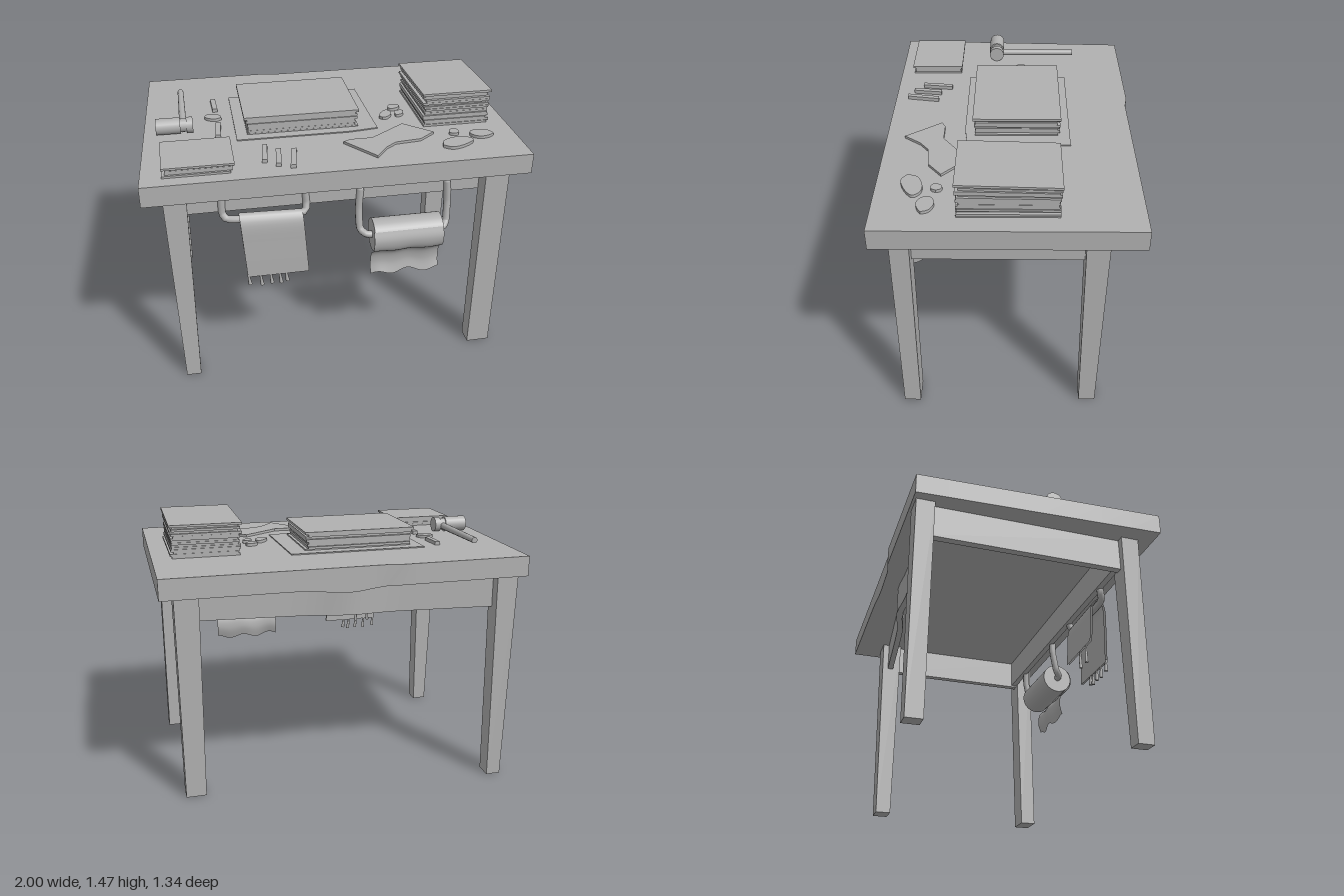
import * as THREE from 'three';

const grey = new THREE.MeshStandardMaterial({ color: 0xb0b0b0 });
grey.name = 'plain grey';
grey.side = THREE.DoubleSide;

let seed = 7;
const rand = () => (seed = (seed * 16807) % 2147483647) / 2147483647;

function add(parent, name, geometry, x = 0, y = 0, z = 0) {
  const mesh = new THREE.Mesh(geometry, grey);
  mesh.name = name;
  mesh.position.set(x, y, z);
  parent.add(mesh);
  return mesh;
}

// Move each vertex of a geometry by a rule
function reshape(geometry, rule) {
  const p = geometry.attributes.position, v = new THREE.Vector3();
  for (let i = 0; i < p.count; i++) {
    v.fromBufferAttribute(p, i);
    rule(v);
    p.setXYZ(i, v.x, v.y, v.z);
  }
  geometry.computeVertexNormals();
  return geometry;
}

// Box given by its limits
function block(parent, name, x0, x1, y0, y1, z0, z1) {
  return add(parent, name, new THREE.BoxGeometry(x1 - x0, y1 - y0, z1 - z0),
    (x0 + x1) / 2, (y0 + y1) / 2, (z0 + z1) / 2);
}

// Upright leg between a bottom and a top rectangle [x0, x1, z0, z1]
function leg(parent, name, bottom, top) {
  const y1 = 1.18;
  add(parent, name, reshape(new THREE.BoxGeometry(1, 1, 1), (v) => {
    const r = v.y > 0 ? top : bottom;
    v.set(v.x > 0 ? r[1] : r[0], v.y > 0 ? y1 : 0, v.z > 0 ? r[3] : r[2]);
  }));
}

// Flat piece lying on the table, outlined by [x, z] points
function flatPiece(parent, name, points, height, y, smooth = false) {
  const pts = points.map(([x, z]) => new THREE.Vector2(x, -z));
  const shape = new THREE.Shape();
  if (smooth) {
    shape.moveTo(pts[0].x, pts[0].y);
    shape.splineThru([...pts.slice(1), pts[0]]);
  } else shape.setFromPoints(pts);
  const g = new THREE.ExtrudeGeometry(shape, { depth: height, bevelEnabled: false, curveSegments: 16 });
  g.rotateX(-Math.PI / 2);
  add(parent, name, g, 0, y, 0);
}

// Pile of uneven sheets
function pile(parent, name, x0, x1, z0, z1, y0, y1, count, tilt = 0) {
  const group = new THREE.Group();
  group.name = name;
  const step = (y1 - y0) / count;
  const j = () => rand() * 0.022;
  for (let i = 0; i < count; i++) {
    const last = i === count - 1;
    const inset = last ? [0, 0, 0, 0] : [j(), j(), j(), j()];
    const sheet = block(group, 'sheet', x0 + inset[0], x1 - inset[1], y0 + i * step, y0 + (i + 1) * step,
      z0 + inset[2], z1 - inset[3]);
    sheet.rotation.x = -tilt * i / count;
  }
  parent.add(group);
}

function tube(parent, name, points, radius) {
  const path = new THREE.CatmullRomCurve3(points.map((p) => new THREE.Vector3(...p)), false, 'catmullrom', 0.3);
  add(parent, name, new THREE.TubeGeometry(path, 28, radius, 10));
  for (const p of [points[0], points[points.length - 1]])
    add(parent, name + 'End', new THREE.SphereGeometry(radius, 10, 8), ...p);
}

// Cloth or paper: a [z, y] profile swept across x, then adjusted by a rule
function drape(parent, name, profile, x0, x1, rule) {
  const curve = new THREE.SplineCurve(profile.map((p) => new THREE.Vector2(...p)));
  const g = reshape(new THREE.PlaneGeometry(1, 1, 20, 28), (v) => {
    const t = 0.5 - v.y, u = v.x + 0.5, p = curve.getPoint(t);
    v.set(x0 + u * (x1 - x0), p.y, p.x);
    if (rule) rule(v, u, t);
  });
  add(parent, name, g);
}

function tableFrame(root) {
  // Top with slightly uneven edges and a sag in the middle of the back edge
  const top = new THREE.BoxGeometry(2, 0.11, 1.34, 24, 1, 8);
  add(root, 'tableTop', reshape(top, (v) => {
    const back = (0.67 - v.z) / 1.34;
    if (v.x < 0) v.x += -v.x * 0.05 * back;
    if (v.z < -0.66) {
      v.z += v.x < -0.2 ? 0 : 0.015;
      if (v.y < 0) v.y -= 0.025 * Math.exp(-((v.x - 0.05) ** 2) / 0.02);
    }
  }), 0, 1.225, 0);

  leg(root, 'frontLeftLeg', [0.79, 0.92, 0.5, 0.59], [0.79, 0.92, 0.485, 0.585]);
  leg(root, 'frontRightLeg', [-0.87, -0.79, 0.5, 0.59], [-0.9, -0.78, 0.485, 0.585]);
  leg(root, 'backLeftLeg', [0.8, 0.91, -0.475, -0.385], [0.79, 0.92, -0.49, -0.37]);
  leg(root, 'backRightLeg', [-0.87, -0.79, -0.66, -0.57], [-0.9, -0.78, -0.655, -0.555]);

  // Aprons between the legs
  block(root, 'frontApron', -0.82, 0.82, 1, 1.175, 0.455, 0.49);
  block(root, 'leftApron', 0.82, 0.86, 0.99, 1.175, -0.42, 0.5);
  block(root, 'rightApron', -0.86, -0.82, 0.99, 1.175, -0.6, 0.5);
  add(root, 'backApron', reshape(new THREE.BoxGeometry(1.68, 0.18, 0.035, 24, 1, 1), (v) => {
    v.z += -0.51 + v.x * 0.095 - 0.03 * Math.exp(-(v.x ** 2) / 0.02);
  }), 0, 1.085, 0);
}

function desktop(root) {
  const y = 1.28;
  pile(root, 'smallPile', -0.89, -0.53, 0.3, 0.6, y, 1.335, 5);
  pile(root, 'middlePile', -0.445, 0.18, -0.27, 0.205, y, 1.388, 8);
  pile(root, 'tallPile', 0.52, 0.905, -0.25, 0.26, y, 1.465, 15, 0.03);
  flatPiece(root, 'deskMat', [[-0.49, -0.32], [0.27, -0.32], [0.28, 0.23], [0.12, 0.25], [-0.49, 0.25]], 0.006, y);
  flatPiece(root, 'paperScrap', [[0.06, 0.38], [0.1, 0.36], [0.22, 0.36], [0.42, 0.22], [0.56, 0.35],
    [0.47, 0.42], [0.33, 0.435], [0.27, 0.48], [0.2, 0.57]], 0.014, y);

  // Mallet
  const mallet = new THREE.Group();
  mallet.name = 'mallet';
  const handle = add(mallet, 'malletHandle', new THREE.CylinderGeometry(0.017, 0.02, 0.44, 14), -0.765, 1.317, -0.16);
  handle.rotation.x = -Math.PI / 2;
  const head = add(mallet, 'malletHead', new THREE.CylinderGeometry(0.044, 0.044, 0.13, 20), -0.845, 1.324, 0.095);
  head.rotation.z = Math.PI / 2;
  const neck = add(mallet, 'malletNeck', new THREE.CylinderGeometry(0.036, 0.036, 0.04, 16), -0.765, 1.324, 0.095);
  neck.rotation.z = Math.PI / 2;
  const cap = add(mallet, 'malletCap', new THREE.CylinderGeometry(0.043, 0.043, 0.035, 20), -0.73, 1.324, 0.095);
  cap.rotation.z = Math.PI / 2;
  root.add(mallet);

  // Sticks: x, z at each end
  for (const [xa, za, xb, zb] of [[-0.585, -0.28, -0.58, -0.14], [-0.575, 0.04, -0.585, 0.2],
    [-0.355, 0.35, -0.375, 0.52], [-0.29, 0.41, -0.31, 0.57], [-0.21, 0.42, -0.24, 0.6]]) {
    const w = 0.014;
    flatPiece(root, 'stick', [[xa - w, za], [xa + w, za], [xb + w, zb], [xb - w, zb]], 0.02, y);
  }

  // Pebbles: x, z, half width, half depth, turn
  for (const [x, z, a, b, turn] of [[-0.6, -0.05, 0.05, 0.035, 0.4], [0.43, -0.01, 0.04, 0.028, -0.6],
    [0.36, 0.08, 0.055, 0.03, 2.1], [0.44, 0.075, 0.035, 0.024, 2.2], [0.67, 0.365, 0.03, 0.03, 0],
    [0.65, 0.485, 0.09, 0.055, 2.8], [0.81, 0.41, 0.06, 0.042, 0.2]]) {
    const points = [];
    for (let i = 0; i < 7; i++) {
      const t = i / 7 * Math.PI * 2, r = 0.88 + rand() * 0.2;
      const px = Math.cos(t) * a * r, pz = Math.sin(t) * b * r;
      points.push([x + px * Math.cos(turn) - pz * Math.sin(turn), z + px * Math.sin(turn) + pz * Math.cos(turn)]);
    }
    flatPiece(root, 'pebble', points, 0.016, y, true);
  }
}

function paperHolder(root) {
  const group = new THREE.Group();
  group.name = 'paperHolder';
  const y = 0.8, z = 0.54;
  tube(group, 'rollHook', [[0.13, 1.06, 0.49], [0.125, 0.94, 0.49], [0.13, 0.83, 0.51], [0.16, 0.805, z], [0.22, y, z]], 0.02);
  tube(group, 'rollHook', [[0.61, 1.06, 0.49], [0.62, 0.94, 0.49], [0.615, 0.83, 0.51], [0.59, 0.805, z], [0.53, y, z]], 0.02);
  const roll = add(group, 'paperRoll', new THREE.CylinderGeometry(0.09, 0.09, 0.38, 32), 0.38, y, z);
  roll.rotation.z = Math.PI / 2;
  // Loose end with a wavy tear
  drape(group, 'looseSheet', [[z + 0.075, 0.855], [z + 0.093, 0.8], [z + 0.078, 0.74], [0.565, 0.69], [0.55, 0.62], [0.565, 0.555]],
    0.185, 0.57, (v, u, t) => {
      v.y += t * t * 0.012 * Math.sin(u * 14);
      v.z += t * t * 0.008 * Math.sin(u * 9);
    });
  root.add(group);
}

function towelRail(root) {
  const group = new THREE.Group();
  group.name = 'towelRail';
  tube(group, 'towelBar', [[-0.605, 1.07, 0.485], [-0.605, 0.99, 0.485], [-0.585, 0.96, 0.5], [-0.53, 0.957, 0.51],
    [-0.36, 0.96, 0.51], [-0.21, 0.957, 0.51], [-0.165, 0.97, 0.5], [-0.16, 1.01, 0.485], [-0.165, 1.07, 0.485]], 0.02);
  // Towel folded over the bar, in two layers for thickness
  for (const off of [0, 0.012])
    drape(group, 'towel', [[0.545 + off, 0.62], [0.545 + off, 0.8], [0.54 + off, 0.94], [0.51, 0.985 + off * 0.5],
      [0.478 - off, 0.94], [0.47 - off, 0.8], [0.467 - off, 0.73]], -0.52, -0.185, (v, u) => {
      v.x += (0.98 - v.y) * 0.075;
      v.y -= 0.008 * u;
    });
  block(group, 'towelHem', -0.495, -0.16, 0.612, 0.625, 0.545, 0.557);
  // Fringe
  for (const [x, len] of [[-0.485, 0.055], [-0.42, 0.065], [-0.365, 0.06], [-0.315, 0.065], [-0.28, 0.055]]) {
    const strand = add(group, 'fringe', new THREE.CylinderGeometry(0.006, 0.011, len, 8), x, 0.615 - len / 2, 0.55);
    strand.rotation.z = 0.12;
  }
  for (const x of [-0.42, -0.34])
    add(group, 'backFringe', new THREE.CylinderGeometry(0.006, 0.01, 0.1, 8), x, 0.68, 0.464);
  root.add(group);
}

export function createModel() {
  seed = 7;
  const root = new THREE.Group();
  root.name = 'workTable';
  tableFrame(root);
  desktop(root);
  paperHolder(root);
  towelRail(root);
  return root;
}
